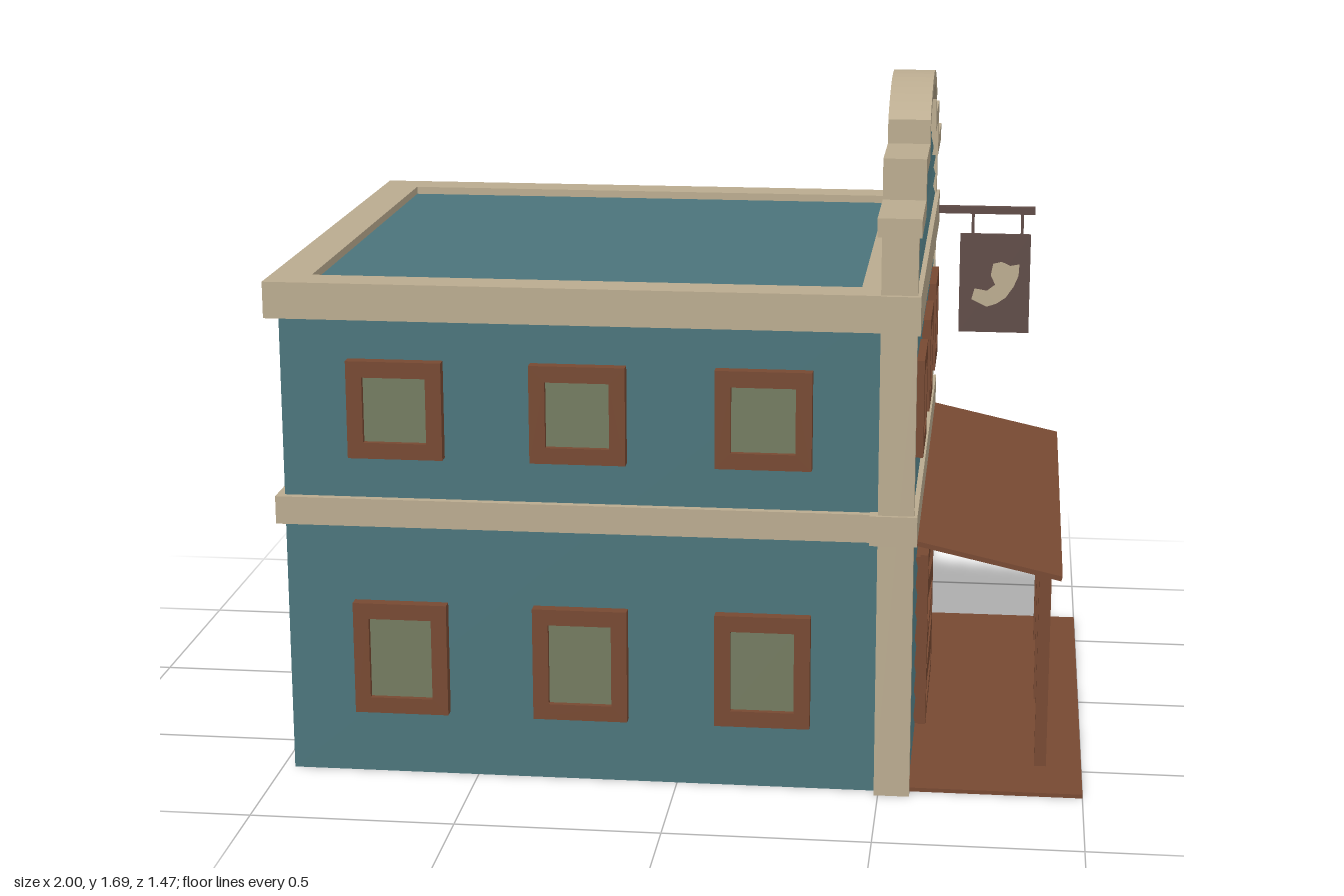
import * as THREE from 'three';

const mat = (name, color) => {
  const m = new THREE.MeshStandardMaterial({ color });
  m.name = name;
  return m;
};

export function createModel() {
  const teal = mat('teal paint', 0x4b747b);
  const cream = mat('cream trim', 0xbaab8f);
  const wood = mat('red brown wood', 0x774932);
  const glass = mat('dusty glass', 0x737b60);
  const dark = mat('dark sign wood', 0x5f4b46);
  const model = new THREE.Group();
  model.name = 'saloon';

  const add = (name, geo, m, parent = model) => {
    const mesh = new THREE.Mesh(geo, m);
    mesh.name = name;
    parent.add(mesh);
    return mesh;
  };
  // box given by its limits on each axis
  const box = (name, m, [x0, x1], [y0, y1], [z0, z1], parent) => {
    const g = new THREE.BoxGeometry(x1 - x0, y1 - y0, z1 - z0);
    g.translate((x0 + x1) / 2, (y0 + y1) / 2, (z0 + z1) / 2);
    return add(name, g, m, parent);
  };
  const poly = (pts) => new THREE.Shape(pts.map((p) => new THREE.Vector2(...p)));
  const rect = (x0, x1, y0, y1) => poly([[x0, y0], [x1, y0], [x1, y1], [x0, y1]]);
  const extrude = (shape, depth) =>
    new THREE.ExtrudeGeometry(shape, { depth, bevelEnabled: false, curveSegments: 20 });
  // shape drawn as seen from +x (u = -z, v = y), spanning x0 to x1
  const extrudeX = (shape, x0, x1) => extrude(shape, x1 - x0).rotateY(Math.PI / 2).translate(x0, 0, 0);

  // main block, cornice frame and belt course
  box('mainBlock', teal, [-0.97, 0.5], [0, 1.235], [-0.68, 0.68]);
  const rim = rect(-1, 0.5, -0.71, 0.71);
  rim.holes.push(rect(-0.9, 0.44, -0.615, 0.615));
  add('cornice', extrude(rim, 0.09).rotateX(-Math.PI / 2).translate(0, 1.165, 0), cream);
  box('beltCourse', cream, [-0.99, 0.49], [0.645, 0.715], [-0.7, 0.7]);

  // false front: core wall with stepped, arched top
  const arc = (r, half) => {
    const pts = [];
    const a = Math.asin(half / r);
    for (let i = 0; i <= 16; i++) {
      const t = a - (2 * a * i) / 16;
      pts.push([r * Math.sin(t), 1.25 + r * Math.cos(t)]);
    }
    return pts;
  };
  const inner = [[0.45, 1.4], [0.45, 1.5], [0.225, 1.5], ...arc(0.405, 0.225),
    [-0.225, 1.5], [-0.45, 1.5], [-0.45, 1.4]];
  add('falseFront', extrudeX(poly([[-0.67, 0], [0.67, 0], [0.67, 1.4], ...inner, [-0.67, 1.4]]), 0.5, 0.558), teal);

  // stepped trim over the false front
  const outer = [[0.735, 1.4], [0.735, 1.445], [0.49, 1.445], [0.49, 1.545], [0.26, 1.545],
    ...arc(0.44, 0.26), [-0.26, 1.545], [-0.49, 1.545], [-0.49, 1.445], [-0.735, 1.445], [-0.735, 1.4]];
  add('parapetTrim', extrudeX(poly([...outer, ...inner.slice().reverse()]), 0.48, 0.585), cream);

  // overlapping siding boards: [bottom, top, half width at bottom, at top]
  const rows = [];
  for (let i = 0; i < 9; i++) rows.push([i * 0.0713, (i + 1) * 0.0713, 0.675, 0.675]);
  for (let i = 0; i < 8; i++) rows.push([0.713 + i * 0.0565, 0.713 + (i + 1) * 0.0565, 0.675, 0.675]);
  rows.push([1.25, 1.305, 0.675, 0.675], [1.305, 1.355, 0.675, 0.675], [1.355, 1.415, 0.675, 0.675],
    [1.415, 1.485, 0.46, 0.46], [1.485, 1.543, 0.46, 0.46], [1.543, 1.6, 0.235, 0.235], [1.6, 1.66, 0.21, 0.12]);
  const pos = [];
  const strip = (xa, ya, wa, xb, yb, wb) => pos.push(
    xa, ya, wa, xa, ya, -wa, xb, yb, -wb,
    xa, ya, wa, xb, yb, -wb, xb, yb, wb);
  for (const [y0, y1, w0, w1] of rows) {
    strip(0.558, y0, w0, 0.573, y0 + 0.008, w0);
    strip(0.573, y0 + 0.008, w0, 0.559, y1, w1);
  }
  const siding = new THREE.BufferGeometry();
  siding.setAttribute('position', new THREE.Float32BufferAttribute(pos, 3));
  siding.computeVertexNormals();
  add('siding', siding, teal);

  // corner pillars and bands of the false front
  for (const s of [-1, 1]) {
    const span = (a, b) => (s > 0 ? [a, b] : [-b, -a]);
    box('cornerPillar', cream, [0.49, 0.577], [0, 1.2], span(0.678, 0.71));
    box('upperPillar', cream, [0.49, 0.577], [1.2, 1.41], span(0.665, 0.71));
  }
  box('frontBelt', cream, [0.47, 0.585], [0.643, 0.717], [-0.72, 0.72]);
  box('frontCornice', cream, [0.49, 0.585], [1.163, 1.257], [-0.725, 0.725]);

  // windows: wall frame with recessed pane
  const addWindow = (x, y, z, h, turn) => {
    const g = new THREE.Group();
    g.name = 'window';
    const frame = rect(-0.117, 0.117, -h / 2, h / 2);
    const b = h / 2 - 0.04;
    frame.holes.push(rect(-0.078, 0.078, -b, b));
    add('windowFrame', extrude(frame, 0.03), wood, g);
    box('windowPane', glass, [-0.08, 0.08], [-b, b], [0.006, 0.015], g);
    g.position.set(x, y, z);
    g.rotation.y = turn;
    model.add(g);
  };
  for (const [y, h] of [[0.307, 0.285], [0.942, 0.243]]) {
    for (const x of [-0.685, -0.237, 0.213]) {
      addWindow(x, y, 0.68, h, 0);
      addWindow(x, y, -0.68, h, Math.PI);
    }
    for (const z of [-0.265, 0.265]) addWindow(-0.97, y, z, h, -Math.PI / 2);
  }
  for (const z of [0.437, -0.013, -0.462]) addWindow(0.561, 0.942, z, 0.243, Math.PI / 2);

  // door with slanted cut-outs between its boards
  const door = rect(-0.235, 0.235, 0, 0.472);
  for (const cut of [
    [[-0.197, 0.43], [-0.197, 0.392], [0.197, 0.327], [0.197, 0.43]],
    [[-0.197, 0.345], [-0.197, 0.237], [0.197, 0.262], [0.197, 0.278]],
    [[-0.197, 0.2], [-0.197, 0.148], [0.197, 0.165], [0.197, 0.246]],
    [[-0.197, 0.11], [-0.197, 0.035], [0.197, 0.035], [0.197, 0.072]],
  ]) door.holes.push(poly(cut));
  add('doorBoards', extrudeX(door, 0.58, 0.6), wood);
  box('doorPanel', wood, [0.56, 0.585], [0.005, 0.465], [-0.23, 0.23]);

  // porch
  box('porchFloor', wood, [0.56, 1], [0, 0.01], [-0.68, 0.675]);
  add('porchRoof', extrude(poly([[0.57, 0.636], [0.932, 0.556], [0.935, 0.568], [0.57, 0.648]]), 1.355)
    .translate(0, 0, -0.68), wood);
  for (const z of [-0.482, 0, 0.482]) box('porchPost', wood, [0.882, 0.912], [0.01, 0.566], [z - 0.015, z + 0.015]);

  // hanging sign with a curved horn emblem on both faces
  const sign = new THREE.Group();
  sign.name = 'hangingSign';
  sign.position.z = -0.658;
  model.add(sign);
  box('signBeam', dark, [0.57, 0.855], [1.203, 1.223], [-0.01, 0.01], sign);
  for (const x of [0.682, 0.82]) box('signHanger', dark, [x - 0.004, x + 0.004], [1.14, 1.205], [-0.004, 0.004], sign);
  box('signBoard', dark, [0.647, 0.845], [0.862, 1.145], [-0.005, 0.005], sign);
  const horn = poly([[0.682, 0.957], [0.725, 0.936], [0.752, 0.945], [0.778, 0.963], [0.8, 0.995], [0.813, 1.027],
    [0.815, 1.06], [0.79, 1.055], [0.765, 1.066], [0.741, 1.06], [0.735, 1.027], [0.748, 1.0], [0.725, 0.982], [0.69, 0.988]]);
  add('signEmblem', extrude(horn, 0.014).translate(0, 0, -0.007), cream, sign);

  return model;
}
